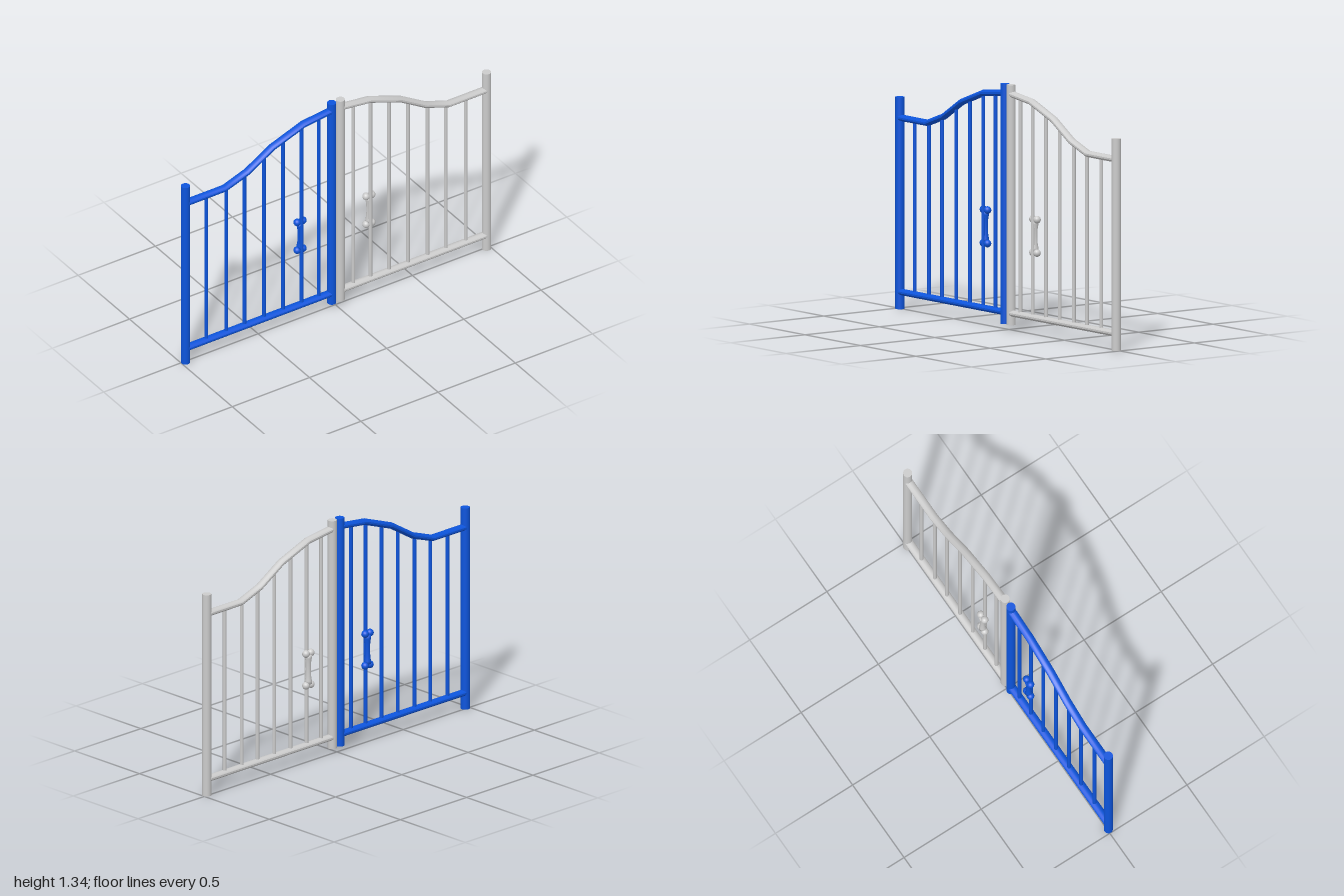
import * as THREE from 'three';
import { toCreasedNormals } from 'three/addons/utils/BufferGeometryUtils.js';

const Z = 0.007; // plane of the gate frame

// Upright round bar between two heights
function upright(name, material, x, y0, y1, radius, sides) {
  const mesh = new THREE.Mesh(new THREE.CylinderGeometry(radius, radius, y1 - y0, sides), material);
  mesh.position.set(x, (y0 + y1) / 2, Z);
  mesh.name = name;
  return mesh;
}

// Oval section swept along a path of [x, y] points running towards +x, with mitred bends
function railGeometry(path, halfHeight, halfDepth, sides = 12) {
  const pts = path.map(([x, y]) => new THREE.Vector2(x, y));
  const positions = [], index = [];
  pts.forEach((p, i) => {
    const before = p.clone().sub(pts[Math.max(i - 1, 0)]).normalize();
    const after = pts[Math.min(i + 1, pts.length - 1)].clone().sub(p).normalize();
    const t = before.add(after).normalize();
    for (let j = 0; j < sides; j++) {
      const a = (j + 0.5) / sides * Math.PI * 2;
      const h = Math.cos(a) * halfHeight;
      positions.push(p.x - t.y * h, p.y + t.x * h, Z + Math.sin(a) * halfDepth);
    }
  });
  for (let i = 0; i < pts.length - 1; i++) {
    for (let j = 0; j < sides; j++) {
      const k = (j + 1) % sides;
      const a = i * sides + j, d = i * sides + k, b = a + sides, c = d + sides;
      index.push(a, d, c, a, c, b);
    }
  }
  const geometry = new THREE.BufferGeometry();
  geometry.setAttribute('position', new THREE.Float32BufferAttribute(positions, 3));
  geometry.setIndex(index);
  return toCreasedNormals(geometry, 0.6);
}

// Half of the top rail, from the meeting post to the hinge post
const curve = [[0.03, 1.288], [0.214, 1.266], [0.415, 1.192], [0.576, 1.094], [0.723, 1.042], [0.97, 1.042]];

function railHeight(x) {
  const i = curve.findIndex((p) => p[0] >= x);
  const [x0, y0] = curve[i - 1], [x1, y1] = curve[i];
  return y0 + (y1 - y0) * (x - x0) / (x1 - x0);
}

// Bone-shaped handle: flared shaft with two knobs at each end
function handle(material) {
  const group = new THREE.Group();
  group.name = 'boneHandle';
  const profile = [[0.001, -0.09], [0.021, -0.082], [0.019, -0.065], [0.015, -0.04], [0.014, 0],
    [0.015, 0.04], [0.019, 0.065], [0.021, 0.082], [0.001, 0.09]].map(([r, y]) => new THREE.Vector2(r, y));
  const shaft = new THREE.Mesh(new THREE.LatheGeometry(profile, 16), material);
  shaft.name = 'handleShaft';
  group.add(shaft);
  for (const sx of [-1, 1]) {
    for (const sy of [-1, 1]) {
      const knob = new THREE.Mesh(new THREE.SphereGeometry(0.021, 16, 12), material);
      knob.position.set(sx * 0.018, sy * 0.091, 0);
      knob.name = 'handleKnob';
      group.add(knob);
    }
  }
  return group;
}

// One gate leaf on the given side
function leaf(side, color, name) {
  const material = new THREE.MeshStandardMaterial({ color });
  const group = new THREE.Group();
  group.name = name;

  // Posts
  group.add(upright('hingePost', material, side * 0.975, 0, 1.155, 0.025, 16));
  group.add(upright('meetingPost', material, side * 0.028, 0.03, 1.338, 0.025, 16));

  // Rails
  const mirror = (path) => (side > 0 ? path : path.map(([x, y]) => [-x, y]).reverse());
  const topRail = new THREE.Mesh(railGeometry(mirror(curve), 0.0175, 0.0235), material);
  topRail.name = 'topRail';
  const bottomRail = new THREE.Mesh(railGeometry(mirror([[0.03, 0.093], [0.97, 0.093]]), 0.0175, 0.0235), material);
  bottomRail.name = 'bottomRail';
  group.add(topRail, bottomRail);

  // Thin bars reaching up to the curved rail
  for (const x of [0.112, 0.223, 0.343, 0.466, 0.593, 0.711, 0.84]) {
    group.add(upright('bar', material, side * x, 0.093, railHeight(x), 0.0105, 10));
  }

  // Handle set towards the back of the second bar
  const bone = handle(material);
  bone.position.set(side * 0.223, 0.535, -0.008);
  group.add(bone);
  return group;
}

export function createModel() {
  const model = new THREE.Group();
  model.name = 'doubleGate';
  model.add(leaf(1, 0xcccccc, 'leftLeaf'), leaf(-1, 0x0d55dd, 'rightLeaf'));
  return model;
}
